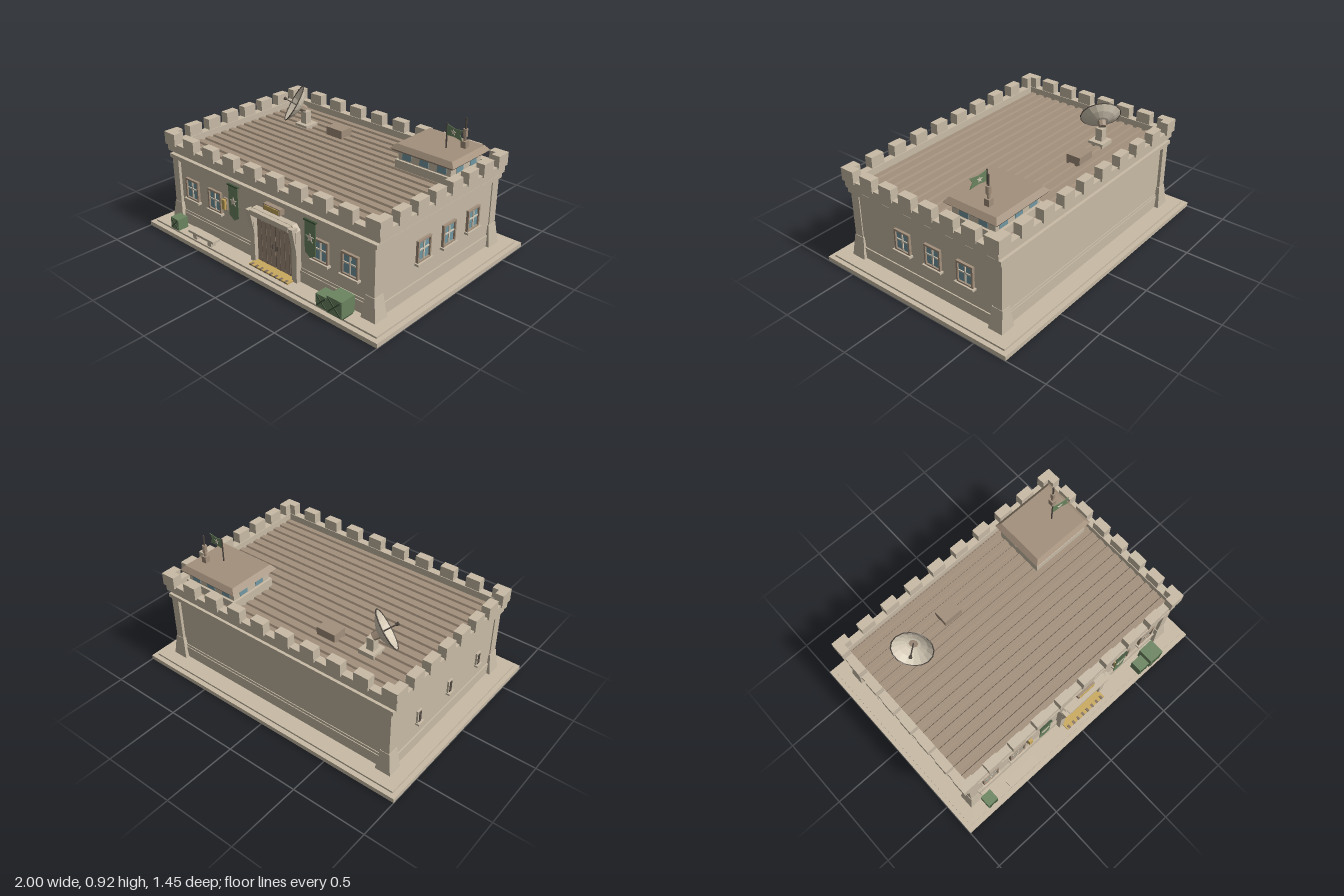
import * as THREE from 'three';

const mat = (name, color) => {
  const m = new THREE.MeshStandardMaterial({ color, flatShading: true });
  m.name = name;
  return m;
};

export function createModel() {
  const root = new THREE.Group();
  root.name = 'fort';
  const stone = mat('stone', 0xc9bca7), brown = mat('brown', 0xa3907c), wood = mat('dark wood', 0x857262);
  const green = mat('green', 0x6b8560), darkGreen = mat('dark green', 0x3f5539), glass = mat('glass', 0x7299a3);
  const yellow = mat('yellow', 0xc9a95c), dark = mat('dark metal', 0x544c45), cream = mat('cream', 0xd6cbb7);
  cream.side = green.side = THREE.DoubleSide;

  const add = (parent, name, geo, m) => {
    const mesh = new THREE.Mesh(geo, m);
    mesh.name = name;
    parent.add(mesh);
    return mesh;
  };
  const box = (p, name, m, x0, x1, y0, y1, z0, z1) =>
    add(p, name, new THREE.BoxGeometry(x1 - x0, y1 - y0, z1 - z0)
      .translate((x0 + x1) / 2, (y0 + y1) / 2, (z0 + z1) / 2), m);
  // Box whose top rectangle differs from its bottom; rectangles are [x0, x1, z0, z1]
  const frustum = (p, name, m, y0, y1, b, t) => {
    const g = new THREE.BoxGeometry(1, 1, 1), a = g.attributes.position;
    for (let i = 0; i < a.count; i++) {
      const r = a.getY(i) > 0 ? t : b;
      a.setXYZ(i, a.getX(i) > 0 ? r[1] : r[0], a.getY(i) > 0 ? y1 : y0, a.getZ(i) > 0 ? r[3] : r[2]);
    }
    g.computeVertexNormals();
    return add(p, name, g, m);
  };
  const plate = (p, name, m, pts, depth) => add(p, name, new THREE.ExtrudeGeometry(
    new THREE.Shape(pts.map(q => new THREE.Vector2(...q))), { depth, bevelEnabled: false }), m);
  const group = (name, x = 0, y = 0, z = 0, ry = 0) => {
    const g = new THREE.Group();
    g.name = name;
    g.position.set(x, y, z);
    g.rotation.y = ry;
    root.add(g);
    return g;
  };
  const star = r => Array.from({ length: 10 }, (_, i) => {
    const a = Math.PI / 2 + i * Math.PI / 5, q = i % 2 ? r * 0.42 : r;
    return [Math.cos(a) * q, Math.sin(a) * q];
  });

  // Base slabs and walls
  box(root, 'baseSlab', stone, -1, 1, 0, 0.03, -0.727, 0.727);
  box(root, 'baseStep', stone, -0.97, 0.97, 0.03, 0.042, -0.695, 0.695);
  box(root, 'walls', stone, -0.86, 0.86, 0.04, 0.55, -0.575, 0.575);
  box(root, 'plinth', stone, -0.868, 0.868, 0.04, 0.12, -0.585, 0.585);
  box(root, 'plinthBand', stone, -0.81, 0.81, 0.12, 0.138, -0.58, 0.58);

  // Corner pillars with flared feet
  for (const sx of [-1, 1]) for (const sz of [-1, 1]) {
    const r = (a, b, c, d) => [Math.min(a * sx, b * sx), Math.max(a * sx, b * sx),
      Math.min(c * sz, d * sz), Math.max(c * sz, d * sz)];
    const s = r(0.81, 0.867, 0.53, 0.595);
    frustum(root, 'cornerPillar', stone, 0.04, 0.5, s, s);
    frustum(root, 'pillarFoot', stone, 0.04, 0.19, r(0.785, 0.892, 0.51, 0.613), r(0.805, 0.87, 0.522, 0.598));
  }

  // Cornice and parapet
  box(root, 'corniceLower', stone, -0.865, 0.865, 0.485, 0.505, -0.585, 0.585);
  box(root, 'cornice', stone, -0.882, 0.882, 0.503, 0.53, -0.603, 0.603);
  box(root, 'corniceUpper', brown, -0.855, 0.855, 0.53, 0.55, -0.56, 0.56);
  for (const s of [-1, 1]) {
    box(root, 'parapetLong', stone, -0.9, 0.9, 0.548, 0.607, s * 0.575 - 0.025, s * 0.575 + 0.025);
    box(root, 'parapetShort', stone, s * 0.873 - 0.027, s * 0.873 + 0.027, 0.548, 0.607, -0.55, 0.55);
    for (let i = 0; i < 10; i++) {
      const x = -0.858 + i * 1.716 / 9;
      box(root, 'merlon', stone, x - 0.05, x + 0.05, 0.595, 0.68, s * 0.584 - 0.029, s * 0.584 + 0.029);
    }
    for (let i = 0; i < 8; i++) {
      const z = -0.56 + i * 0.16;
      box(root, 'merlon', stone, s * 0.88 - 0.029, s * 0.88 + 0.029, 0.595, 0.68, z - 0.05, z + 0.05);
    }
  }

  // Ribbed roof deck
  box(root, 'roofDeck', brown, -0.846, 0.846, 0.53, 0.556, -0.55, 0.55);
  for (let i = 0; i < 16; i++) {
    const z = -0.52 + i * 0.0695;
    frustum(root, 'roofRib', brown, 0.556, 0.568, [-0.846, 0.846, z - 0.023, z + 0.023], [-0.846, 0.846, z - 0.017, z + 0.017]);
  }
  box(root, 'roofVent', brown, -0.295, -0.16, 0.555, 0.62, -0.37, -0.27);

  // Lookout cabin with hipped lid
  box(root, 'cabinWalls', stone, 0.4, 0.79, 0.55, 0.69, -0.49, -0.175);
  box(root, 'cabinSill', stone, 0.385, 0.805, 0.55, 0.622, -0.505, -0.16);
  frustum(root, 'cabinEave', brown, 0.683, 0.697, [0.375, 0.815, -0.52, -0.15], [0.36, 0.828, -0.53, -0.14]);
  frustum(root, 'cabinLid', brown, 0.697, 0.728, [0.36, 0.828, -0.53, -0.14], [0.39, 0.8, -0.505, -0.165]);
  for (const x of [0.465, 0.595, 0.725]) {
    box(root, 'cabinWindow', glass, x - 0.033, x + 0.033, 0.63, 0.672, -0.178, -0.171);
    box(root, 'cabinWindow', glass, x - 0.033, x + 0.033, 0.63, 0.672, -0.494, -0.487);
  }
  for (const z of [-0.405, -0.265]) for (const x of [0.4, 0.79])
    box(root, 'cabinWindow', glass, x - 0.004, x + 0.004, 0.63, 0.672, z - 0.033, z + 0.033);

  // Antenna mast
  const mast = group('antennaMast', 0.73, 0, -0.393);
  box(mast, 'mastFoot', brown, -0.018, 0.018, 0.725, 0.772, -0.018, 0.018);
  for (const [r, y0, y1, m] of [[0.009, 0.77, 0.805, brown], [0.015, 0.8, 0.85, brown], [0.006, 0.85, 0.92, dark]])
    add(mast, 'mastTube', new THREE.CylinderGeometry(r, r, y1 - y0, 8).translate(0, (y0 + y1) / 2, 0), m);

  // Flag
  const flag = group('flag', 0.65, 0, -0.315, -0.12);
  add(flag, 'flagPole', new THREE.CylinderGeometry(0.005, 0.005, 0.165, 6).translate(0, 0.805, 0), dark);
  plate(flag, 'flagCloth', green, [[0, 0.812], [0.06, 0.818], [0.125, 0.808], [0.105, 0.845], [0.125, 0.876], [0.06, 0.87], [0, 0.883]], 0.004);
  for (const z of [-0.003, 0.004]) plate(flag, 'flagStar', cream, star(0.02), 0.003).position.set(0.055, 0.845, z);

  // Satellite dish, aimed up, forward and to the side
  box(root, 'dishFoot', stone, -0.56, -0.45, 0.55, 0.585, -0.345, -0.235);
  box(root, 'dishPost', stone, -0.535, -0.485, 0.58, 0.67, -0.315, -0.265);
  const dish = group('dish', -0.565, 0.717, -0.248);
  dish.quaternion.setFromUnitVectors(new THREE.Vector3(0, 1, 0), new THREE.Vector3(-0.62, 0.51, 0.6).normalize());
  const profile = [[0.001, -0.045], [0.045, -0.038], [0.09, -0.018], [0.134, 0.014]].map(p => new THREE.Vector2(...p));
  add(dish, 'dishBowl', new THREE.LatheGeometry(profile, 16), cream);
  add(dish, 'dishRim', new THREE.TorusGeometry(0.132, 0.004, 4, 16).rotateX(Math.PI / 2).translate(0, 0.013, 0), dark);
  add(dish, 'feedArm', new THREE.CylinderGeometry(0.005, 0.005, 0.12, 6).translate(0, 0.015, 0), dark);
  add(dish, 'feedHorn', new THREE.CylinderGeometry(0.012, 0.008, 0.02, 8).translate(0, 0.08, 0), dark);
  add(dish, 'dishHub', new THREE.CylinderGeometry(0.03, 0.025, 0.04, 8).translate(0, -0.06, 0), brown);

  // Framed windows on the front and one side
  const addWindow = (x, z, ry) => {
    const w = group('window', x, 0.318, z, ry);
    box(w, 'pane', glass, -0.055, 0.055, -0.068, 0.068, -0.005, 0.006);
    for (const s of [-1, 1]) {
      box(w, 'jamb', brown, s * 0.056 - 0.006, s * 0.056 + 0.006, -0.07, 0.07, -0.005, 0.018);
      box(w, 'rail', brown, -0.062, 0.062, s * 0.067 - 0.006, s * 0.067 + 0.006, -0.005, 0.018);
    }
    box(w, 'mullion', cream, -0.005, 0.005, -0.065, 0.065, 0, 0.013);
    box(w, 'crossbar', cream, -0.052, 0.052, 0.002, 0.011, 0, 0.012);
    box(w, 'sill', stone, -0.072, 0.072, -0.084, -0.07, -0.005, 0.03);
  };
  for (const x of [-0.69, -0.465, 0.455, 0.68]) addWindow(x, 0.575, 0);
  for (const z of [0.165, -0.08, -0.33]) addWindow(0.86, z, Math.PI / 2);

  // Narrow slits on the other side
  for (const z of [-0.3, 0.03, 0.36]) {
    const s = group('slit', -0.86, 0.265, z, -Math.PI / 2);
    box(s, 'slitFrame', stone, -0.022, 0.022, -0.045, 0.05, -0.005, 0.012);
    box(s, 'slitOpening', dark, -0.011, 0.011, -0.036, 0.042, 0, 0.015);
    box(s, 'slitSill', stone, -0.028, 0.028, -0.05, -0.038, -0.005, 0.027);
  }

  // Entrance portal
  const gate = group('gate', 0.09);
  plate(gate, 'gateFrame', stone, [[-0.2, 0.04], [-0.2, 0.385], [-0.17, 0.42], [0.17, 0.42], [0.2, 0.385], [0.2, 0.04],
    [0.16, 0.04], [0.16, 0.38], [-0.16, 0.38], [-0.16, 0.04]], 0.05).position.z = 0.565;
  box(gate, 'gateHeader', stone, -0.165, 0.165, 0.385, 0.418, 0.6, 0.645);
  for (const s of [-1, 1]) {
    frustum(gate, 'gateBracket', stone, 0.27, 0.41, [s * 0.18 - 0.018, s * 0.18 + 0.018, 0.6, 0.617], [s * 0.18 - 0.018, s * 0.18 + 0.018, 0.6, 0.645]);
    box(gate, 'doorLeaf', brown, s * 0.08 - 0.078, s * 0.08 + 0.078, 0.05, 0.38, 0.57, 0.59);
    for (const k of [0.04, 0.08, 0.12]) box(gate, 'doorSeam', wood, s * k - 0.002, s * k + 0.002, 0.05, 0.38, 0.585, 0.592);
    box(gate, 'doorHandle', dark, s * 0.022 - 0.004, s * 0.022 + 0.004, 0.185, 0.215, 0.59, 0.6);
  }
  box(gate, 'doorGap', dark, -0.002, 0.002, 0.05, 0.38, 0.57, 0.589);
  box(gate, 'threshold', yellow, -0.17, 0.17, 0.04, 0.052, 0.585, 0.662);
  for (let i = 0; i < 8; i++) {
    const x = -0.149 + i * 0.0425;
    box(gate, 'thresholdStripe', wood, x - 0.008, x + 0.008, 0.043, 0.054, 0.64, 0.664);
  }
  box(gate, 'signFrame', brown, -0.07, 0.07, 0.443, 0.484, 0.57, 0.615);
  box(gate, 'signPanel', yellow, -0.062, 0.062, 0.449, 0.478, 0.61, 0.62);

  // Banners and wall lamps
  for (const x of [-0.255, 0.4]) {
    const b = group('banner', x, 0, 0.607);
    plate(b, 'bannerCloth', green, [[-0.043, 0.5], [-0.043, 0.29], [0, 0.262], [0.043, 0.29], [0.043, 0.5]], 0.004);
    plate(b, 'bannerStar', cream, star(0.033), 0.004).position.set(0, 0.393, 0.003);
    box(b, 'bannerRod', darkGreen, -0.048, 0.048, 0.497, 0.506, -0.01, 0.01);
  }
  for (const x of [-0.365, 0.395]) {
    box(root, 'lampBack', brown, x - 0.016, x + 0.016, 0.29, 0.372, 0.57, 0.588);
    box(root, 'lamp', yellow, x - 0.013, x + 0.013, 0.296, 0.366, 0.585, 0.604);
  }

  // Supply crates with crossed braces
  for (const [x, z, w, y] of [[-0.77, 0.655, 0.078, 0.042], [0.58, 0.672, 0.082, 0.055], [0.685, 0.665, 0.11, 0.055]]) {
    const c = group('crate', x, y + w / 2, z), h = w / 2;
    box(c, 'crateBody', green, -h, h, -h, h, -h, h);
    if (y > 0.05) box(c, 'crateSkid', darkGreen, -h * 0.9, h * 0.9, -h - 0.014, -h, -h * 0.9, h * 0.6);
    for (const s of [-1, 1])
      box(c, 'crateBrace', darkGreen, -h * 1.15, h * 1.15, -0.004, 0.004, h - 0.002, h + 0.003).rotation.z = s * Math.PI / 4;
  }

  // Bench
  box(root, 'benchSeat', stone, -0.62, -0.375, 0.079, 0.095, 0.638, 0.698);
  for (const x of [-0.57, -0.425]) box(root, 'benchLeg', stone, x - 0.018, x + 0.018, 0.03, 0.08, 0.648, 0.688);

  return root;
}
